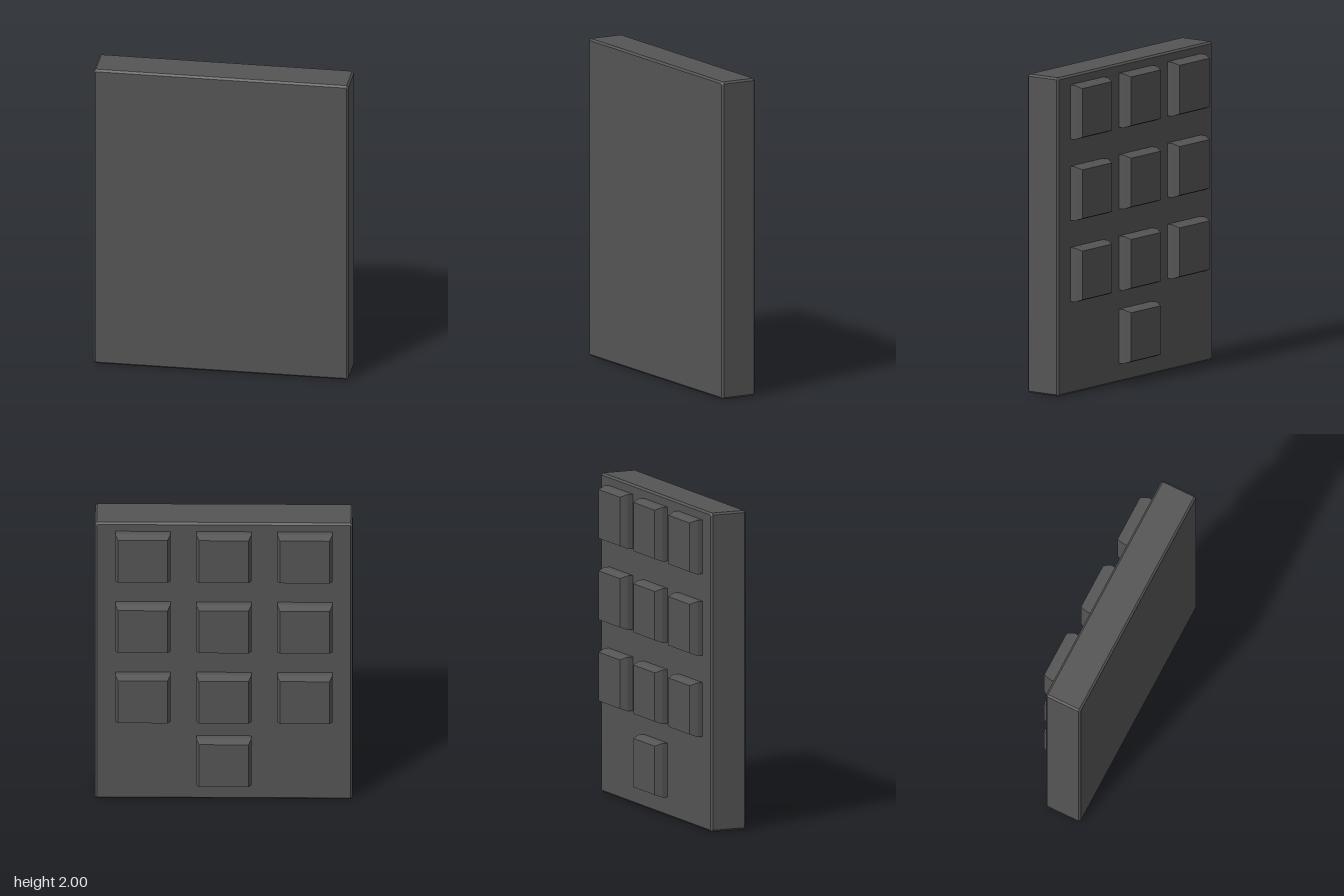
import * as THREE from 'three';

const material = new THREE.MeshStandardMaterial({ color: 0x555555, flatShading: true });

// Rectangular block along z with cut corners and bevelled end faces, centred on the origin
function bevelledBlock(width, height, depth, corner, bevelSize, bevelDepth) {
  const w = width / 2, h = height / 2, c = corner;
  const points = c > 0
    ? [[-w + c, -h], [w - c, -h], [w, -h + c], [w, h - c], [w - c, h], [-w + c, h], [-w, h - c], [-w, -h + c]]
    : [[-w, -h], [w, -h], [w, h], [-w, h]];
  const shape = new THREE.Shape(points.map(([x, y]) => new THREE.Vector2(x, y)));
  const straight = depth - 2 * bevelDepth;
  const geometry = new THREE.ExtrudeGeometry(shape, {
    depth: straight, bevelEnabled: true, bevelSegments: 1,
    bevelSize, bevelThickness: bevelDepth, bevelOffset: -bevelSize,
  });
  return geometry.translate(0, 0, -straight / 2);
}

export function createModel() {
  const model = new THREE.Group();
  model.name = 'keypad';

  // Flat slab carrying the keys
  const panel = new THREE.Mesh(bevelledBlock(1.59, 2, 0.24, 0.012, 0.012, 0.012), material);
  panel.name = 'panel';
  panel.position.set(0, 1, 0.04);
  model.add(panel);

  // Keys on the back: three full rows and a single middle key below
  const keys = new THREE.Group();
  keys.name = 'keys';
  const keyGeometry = bevelledBlock(0.34, 0.34, 0.16, 0, 0.017, 0.045);
  const rows = [1.77, 1.26, 0.75, 0.29];
  rows.forEach((y, row) => {
    const columns = row < 3 ? [-0.5, 0, 0.5] : [0];
    for (const x of columns) {
      const key = new THREE.Mesh(keyGeometry, material);
      key.name = 'key';
      key.position.set(x, y, -0.08);
      keys.add(key);
    }
  });
  model.add(keys);

  return model;
}
